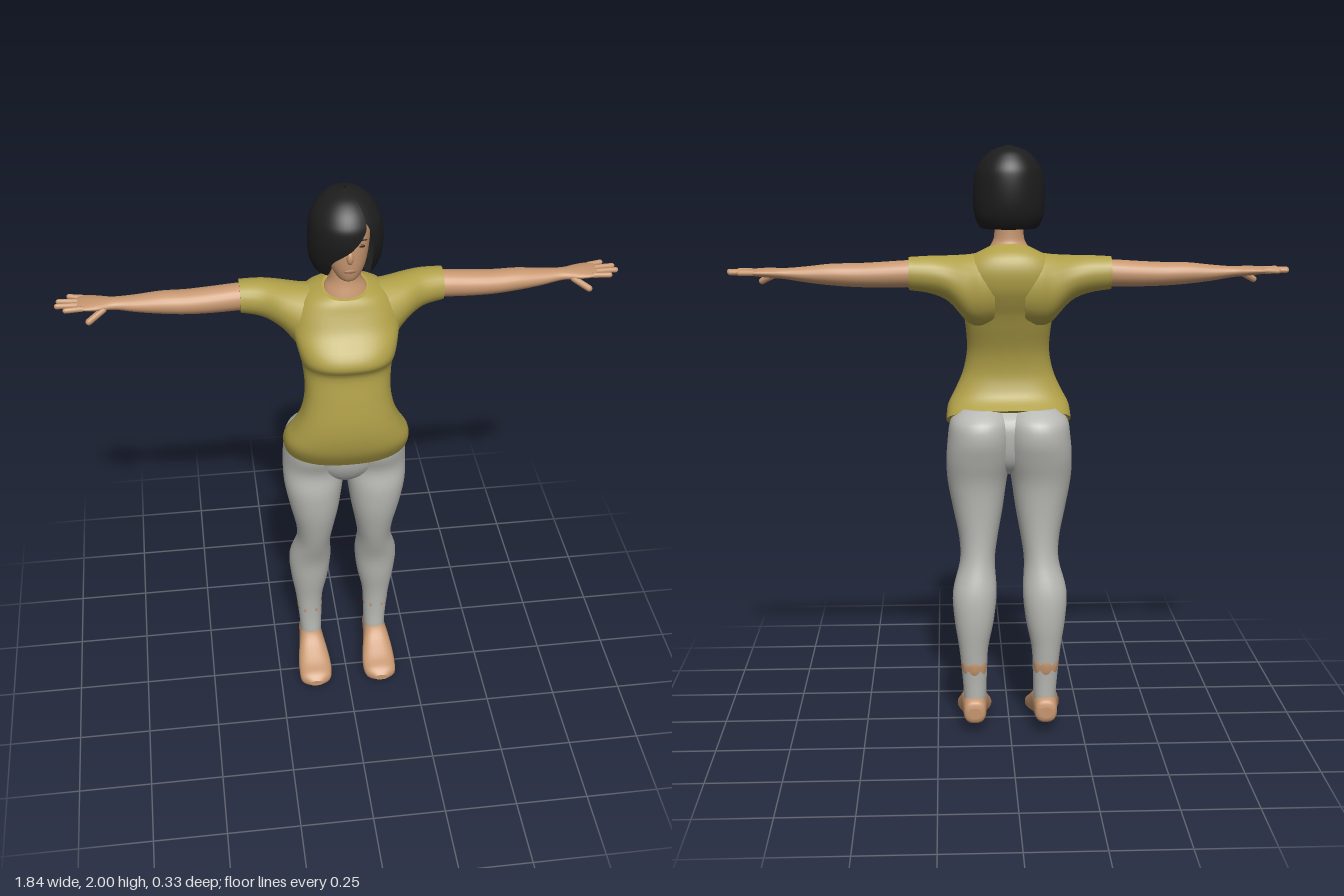
import * as THREE from 'three';

const mat = (name, color, side = THREE.FrontSide) => {
  const m = new THREE.MeshStandardMaterial({ color, side });
  m.name = name;
  return m;
};

// Catmull-Rom refinement of a short table of cross-section rows
function refine(rows, k = 4) {
  const out = [];
  const at = i => rows[Math.min(Math.max(i, 0), rows.length - 1)];
  for (let i = 0; i < rows.length - 1; i++) {
    for (let s = 0; s < k; s++) {
      const t = s / k;
      out.push(at(i).map((b, q) => {
        const a = at(i - 1)[q], c = at(i + 1)[q], d = at(i + 2)[q];
        return 0.5 * (2 * b + (c - a) * t + (2 * a - 5 * b + 4 * c - d) * t * t + (3 * b - a - 3 * c + d) * t * t * t);
      }));
    }
  }
  out.push(at(rows.length - 1));
  return out;
}

// Skin a list of rings; closed rings also get end caps
function loft(rings, closed = true) {
  const n = rings[0].length, pos = rings.flat(2), idx = [];
  for (let i = 0; i < rings.length - 1; i++) {
    for (let j = 0; j < (closed ? n : n - 1); j++) {
      const a = i * n + j, b = i * n + (j + 1) % n;
      idx.push(a, a + n, b, b, a + n, b + n);
    }
  }
  if (closed) {
    [rings[0], rings[rings.length - 1]].forEach((ring, end) => {
      const base = pos.length / 3;
      pos.push(...ring.flat());
      pos.push(...[0, 1, 2].map(q => ring.reduce((s, p) => s + p[q], 0) / n));
      for (let j = 0; j < n; j++) {
        const a = base + j, b = base + (j + 1) % n;
        idx.push(base + n, ...(end ? [b, a] : [a, b]));
      }
    });
  }
  const g = new THREE.BufferGeometry();
  g.setAttribute('position', new THREE.Float32BufferAttribute(pos, 3));
  g.setIndex(idx);
  g.computeVertexNormals();
  return g;
}

// Unit (super)ellipse as [cos, sin] pairs
const unit = (n, e = 2) => Array.from({ length: n }, (_, j) => {
  const t = j / n * Math.PI * 2;
  return [Math.cos(t), Math.sin(t)].map(v => Math.sign(v) * Math.abs(v) ** (2 / e));
});
const mix = (lo, hi, s) => (lo + hi) / 2 + (hi - lo) / 2 * s;

// Rows: [yFront, yBack, halfWidth, zFront, zBack]
const trunk = (rows, n = 36, e = 2) => loft(refine(rows).map(([yF, yB, w, zF, zB]) =>
  unit(n, e).map(([c, s]) => [w * c, mix(yB, yF, s), mix(zB, zF, s)])));
// Rows: [y, xInner, xOuter, zFront, zBack]
const upright = (rows, e = 2, wobble = () => 1) => loft(refine(rows).map(([y, xi, xo, zF, zB]) =>
  unit(36, e).map(([c, s], j) => {
    const k = wobble(j / 36 * Math.PI * 2);
    return [mix(xi, xo, c * k), y, mix(zB, zF, s * k)];
  })));
// Rows: [x, yTop, yBottom, zFront, zBack]
const sideways = rows => loft(refine(rows).map(([x, yT, yB, zF, zB]) =>
  unit(24).map(([c, s]) => [x, mix(yB, yT, c), mix(zB, zF, -s)])));
// Rows: [z, yTop, yBottom, xInner, xOuter]
const lengthways = rows => loft(refine(rows).map(([z, yT, yB, xi, xo]) =>
  unit(28, 2.5).map(([c, s]) => [mix(xi, xo, c), mix(yB, yT, -s), z])));

function mirrored(geo) {
  const g = geo.clone().scale(-1, 1, 1), ix = g.index.array;
  for (let i = 0; i < ix.length; i += 3) [ix[i], ix[i + 1]] = [ix[i + 1], ix[i]];
  g.computeVertexNormals();
  return g;
}

function digit(a, b, r) {
  const A = new THREE.Vector3(...a), B = new THREE.Vector3(...b), d = B.clone().sub(A);
  const g = new THREE.CapsuleGeometry(r, d.length(), 4, 10);
  g.applyQuaternion(new THREE.Quaternion().setFromUnitVectors(new THREE.Vector3(0, 1, 0), d.normalize()));
  return g.translate(...A.add(B).multiplyScalar(0.5).toArray());
}

const blob = (p, s) => new THREE.SphereGeometry(1, 16, 12).scale(...s).translate(...p);

export function createModel() {
  const root = new THREE.Group();
  root.name = 'woman';
  const skin = mat('skin', 0xc6966f), shirt = mat('shirt yellow', 0xb0a048);
  const pants = mat('pants grey', 0xb7b8b3), hair = mat('hair black', 0x1d1d1d, THREE.DoubleSide);
  const lip = mat('lip', 0xa66f58), dark = mat('eye dark', 0x2a1c16);
  const add = (name, geo, m) => {
    const mesh = new THREE.Mesh(geo, m);
    mesh.name = name;
    root.add(mesh);
  };
  const pair = (name, geo, m) => {
    add('left' + name, geo, m);
    add('right' + name, mirrored(geo), m);
  };

  // Shirt
  add('shirtBody', trunk([
    [1.035, 1.13, .212, .105, -.10], [1.10, 1.16, .206, .145, -.06], [1.17, 1.20, .178, .163, -.042],
    [1.24, 1.25, .153, .165, -.035], [1.32, 1.32, .14, .155, -.045], [1.405, 1.40, .145, .143, -.075],
    [1.45, 1.45, .155, .166, -.095], [1.49, 1.49, .165, .152, -.115], [1.54, 1.54, .175, .107, -.135],
    [1.59, 1.60, .165, .08, -.14], [1.625, 1.65, .13, .065, -.12], [1.642, 1.682, .074, .055, -.07],
  ], 44, 2.4), shirt);
  pair('Sleeve', sideways([
    [.05, 1.652, 1.42, .05, -.125], [.10, 1.652, 1.41, .055, -.14], [.14, 1.648, 1.425, .05, -.155],
    [.20, 1.647, 1.495, .015, -.165], [.26, 1.648, 1.525, -.03, -.165], [.33, 1.645, 1.537, -.05, -.163],
  ]), shirt);

  // Pants
  add('pelvis', trunk([
    [.905, .905, .03, .02, -.06], [.94, .94, .10, .055, -.10], [1.0, 1.0, .15, .083, -.12],
    [1.08, 1.08, .17, .09, -.12], [1.12, 1.12, .15, .07, -.08],
  ]), pants);
  pair('PantLeg', upright([
    [.09, .085, .16, -.05, -.14], [.13, .082, .16, -.05, -.14], [.2, .08, .165, -.053, -.143],
    [.3, .075, .175, -.047, -.153], [.4, .055, .19, -.03, -.163], [.5, .045, .195, -.015, -.158],
    [.6, .05, .17, .02, -.13], [.68, .04, .172, .045, -.12], [.78, .022, .192, .068, -.12],
    [.88, .008, .21, .075, -.128], [.96, -.005, .213, .065, -.15], [1.03, -.01, .208, .085, -.166],
    [1.09, -.005, .198, .085, -.155], [1.13, .02, .165, .06, -.10],
  ], 2.1), pants);

  // Bare patches at the ankles, uneven around the leg
  pair('AnklePatch', upright([
    [.2, .085, .16, -.058, -.138], [.22, .08, .166, -.053, -.145],
    [.25, .078, .17, -.051, -.148], [.275, .083, .166, -.055, -.143],
  ], 2.1, t => 0.99 - .02 * Math.sin(t) + .025 * Math.sin(7 * t)), skin);

  // Feet
  pair('Foot', lengthways([
    [-.163, .10, .06, .10, .145], [-.152, .124, .042, .085, .16], [-.10, .135, .035, .08, .165],
    [-.05, .134, .027, .075, .17], [0, .10, .016, .065, .178], [.05, .07, .006, .06, .181],
    [.09, .054, 0, .068, .176], [.112, .035, .012, .10, .145],
  ]), skin);

  // Arms and hands
  pair('Arm', sideways([
    [.28, 1.635, 1.545, -.06, -.15], [.34, 1.634, 1.546, -.057, -.15], [.42, 1.629, 1.545, -.055, -.148],
    [.5, 1.625, 1.547, -.055, -.145], [.58, 1.624, 1.553, -.06, -.145], [.66, 1.616, 1.563, -.07, -.14],
    [.73, 1.611, 1.575, -.08, -.137], [.78, 1.612, 1.58, -.068, -.15], [.82, 1.61, 1.585, -.066, -.158],
    [.845, 1.607, 1.59, -.07, -.155],
  ]), skin);
  [[-.077, .882, -.07], [-.101, .91, -.1], [-.125, .905, -.128], [-.148, .872, -.156]].forEach(([z0, x, z], i) =>
    pair('Finger' + (i + 1), digit([.83, 1.598, z0], [x, 1.599, z], .009), skin));
  pair('Thumb', digit([.765, 1.588, -.08], [.812, 1.563, -.053], .011), skin);

  // Neck and head
  add('neck', trunk([
    [1.61, 1.62, .085, .055, -.075], [1.65, 1.675, .068, .045, -.066], [1.70, 1.70, .05, .032, -.06],
    [1.77, 1.77, .048, .03, -.06],
  ]), skin);
  add('head', trunk([
    [1.73, 1.73, .02, .085, .04], [1.74, 1.74, .035, .098, .01], [1.77, 1.77, .054, .106, -.03],
    [1.81, 1.81, .066, .109, -.06], [1.86, 1.86, .073, .108, -.08], [1.91, 1.91, .072, .10, -.09],
    [1.95, 1.95, .055, .07, -.08],
  ]), skin);
  add('nose', blob([0, 1.822, .107], [.011, .022, .013]), skin);
  add('mouth', blob([0, 1.775, .105], [.02, .006, .004]), lip);
  pair('Eye', blob([.034, 1.856, .096], [.014, .005, .004]), dark);
  pair('Eyebrow', blob([.036, 1.876, .094], [.019, .003, .004]), dark);

  // Bob haircut with a swept fringe; rows: [y, halfWidth, zFront, zBack, openFrom, openTo]
  const bob = refine([
    [1.745, .05, 0, -.05, .7, 2.3], [1.73, .09, .06, -.09, .7, 2.3], [1.76, .11, .08, -.115, .85, 2.1],
    [1.80, .117, .10, -.128, .87, 2.0], [1.85, .118, .115, -.133, .87, 1.5], [1.90, .113, .117, -.132, .95, 1.15],
    [1.93, .103, .106, -.125, 1.05, 1.05], [1.96, .083, .082, -.105, 1.05, 1.05],
    [1.985, .052, .045, -.075, 1.05, 1.05], [2.0, .004, -.01, -.02, 1.05, 1.05],
  ]);
  add('hair', loft(bob.map(([y, w, zF, zB, from, to]) => Array.from({ length: 49 }, (_, j) => {
    const t = to + (from + Math.PI * 2 - to) * j / 48;
    return [w * Math.cos(t), y, mix(zB, zF, Math.sin(t))];
  }), ), false), hair);

  return root;
}
